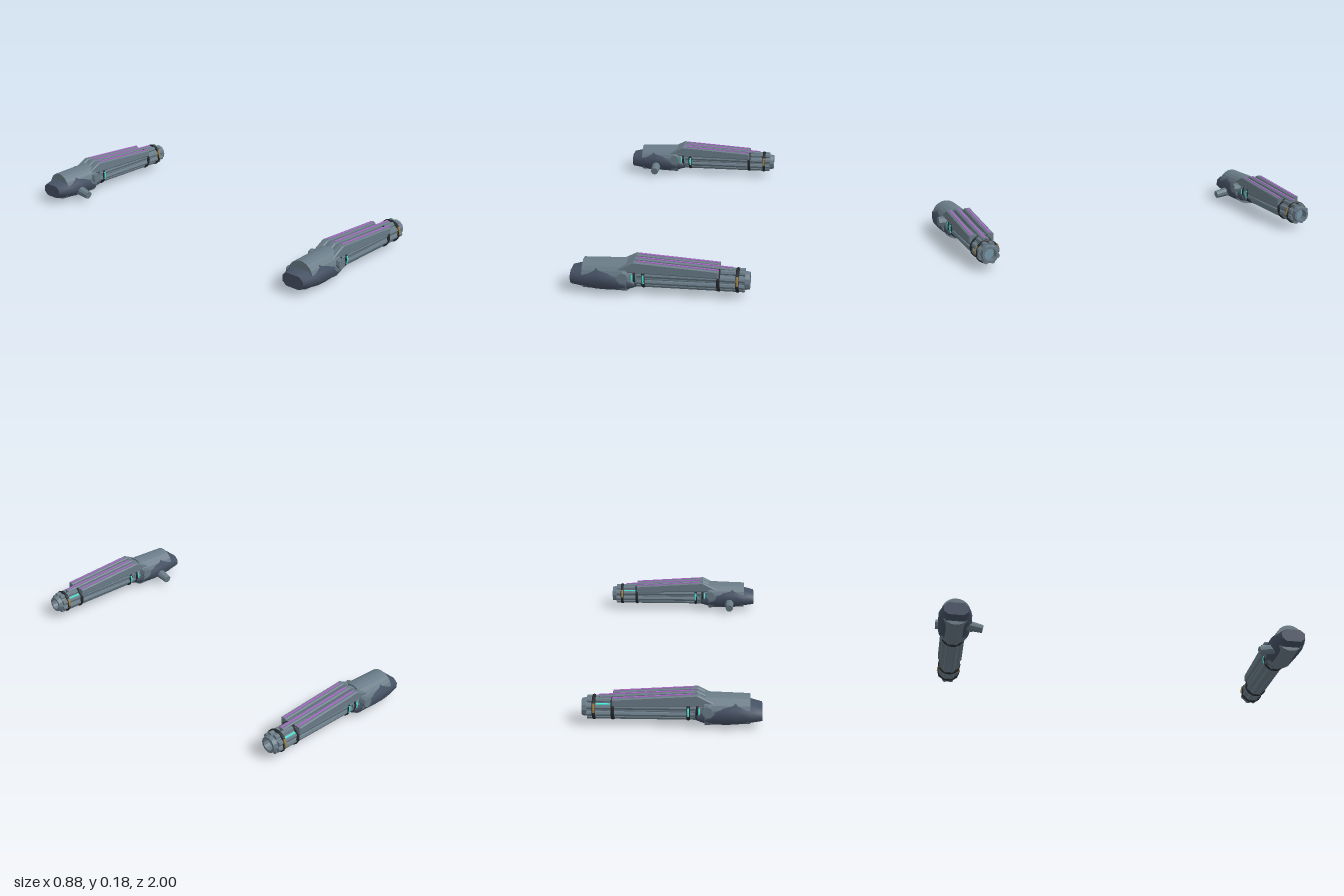
import * as THREE from 'three';

const mat = (name, color) => Object.assign(new THREE.MeshStandardMaterial({ color }), { name });

export function createModel() {
  const hull = mat('hull grey', 0x697b87), dark = mat('dark slate', 0x465265), black = mat('black rubber', 0x25292d);
  const violet = mat('violet trim', 0xab66c6), teal = mat('teal glow', 0x50ecdc), gold = mat('gold', 0x9c8046);
  const steel = mat('pale steel', 0x7698a9);
  const axisY = 0.085;
  // Hull pieces are faceted, the dark rear shell is smooth; the muzzle is an open surface
  hull.flatShading = true;
  hull.side = THREE.DoubleSide;

  const add = (parent, name, geo, material) => {
    const m = new THREE.Mesh(geo, material);
    m.name = name;
    parent.add(m);
    return m;
  };

  // Cylinder lying along x, r0 at the rear and r1 at the front
  const barX = (x0, x1, r0, r1, sides, y = axisY, z = 0) =>
    new THREE.CylinderGeometry(r1, r0, x1 - x0, sides).rotateZ(-Math.PI / 2).translate((x0 + x1) / 2, y, z);

  // Ring or arc around the barrel axis; angle 0 points to +z
  const ringX = (x, r, tube, width, arc = Math.PI * 2, angle = 0) =>
    new THREE.TorusGeometry(r, tube, 6, arc > 6 ? 24 : 8, arc)
      .rotateZ(angle - arc / 2).scale(1, 1, width).rotateY(-Math.PI / 2).translate(x, axisY, 0);

  // Shell through chamfered eight-sided sections [x, bottom, top, half width], with flat end caps
  function loft(sections) {
    const pos = [], index = [], n = 8;
    const shape = [[1, 0.42], [0.62, 1], [-0.62, 1], [-1, 0.42], [-1, -0.42], [-0.62, -1], [0.62, -1], [1, -0.42]];
    const ring = ([x, lo, hi, w]) => {
      const first = pos.length / 3;
      for (const [z, y] of shape) pos.push(x, (lo + hi) / 2 + y * (hi - lo) / 2, z * w);
      return first;
    };
    const starts = sections.map(ring);
    for (let s = 0; s < starts.length - 1; s++)
      for (let i = 0; i < n; i++) {
        const a = starts[s] + i, b = starts[s] + (i + 1) % n;
        index.push(a, b, a + n, b, b + n, a + n);
      }
    const rear = ring(sections[0]), front = ring(sections[sections.length - 1]);
    for (let i = 1; i < n - 1; i++) {
      index.push(rear, rear + i + 1, rear + i);
      index.push(front, front + i, front + i + 1);
    }
    // The sections run from +z up and over to -z, so every face is turned outward here
    for (let i = 0; i < index.length; i += 3) [index[i + 1], index[i + 2]] = [index[i + 2], index[i + 1]];
    const g = new THREE.BufferGeometry();
    g.setAttribute('position', new THREE.Float32BufferAttribute(pos, 3));
    g.setIndex(index);
    g.computeVertexNormals();
    return g;
  }

  // Long bevelled rail with a side profile in x and y
  function rail(points, width, z) {
    const b = 0.005;
    const g = new THREE.ExtrudeGeometry(new THREE.Shape(points.map(p => new THREE.Vector2(...p))),
      { depth: width - 2 * b, bevelEnabled: true, bevelThickness: b, bevelSize: b, bevelOffset: -b, bevelSegments: 1 });
    return g.translate(0, 0, z - width / 2 + b);
  }

  function cannon(side) {
    const c = new THREE.Group();
    c.name = side > 0 ? 'frontCannon' : 'backCannon';

    // Rear housing
    add(c, 'rearShell', loft([[-0.44, 0.037, 0.107, 0.064], [-0.38, 0.03, 0.121, 0.078], [-0.31, 0.022, 0.14, 0.088],
      [-0.25, 0.02, 0.135, 0.086], [-0.17, 0.02, 0.115, 0.077], [-0.12, 0.035, 0.08, 0.062]]), dark);
    add(c, 'housing', barX(-0.38, -0.16, 0.076, 0.083, 24), hull);
    add(c, 'collar', barX(-0.16, -0.11, 0.066, 0.058, 16), hull);

    // Cross bolt through the housing
    add(c, 'crossBolt', new THREE.CylinderGeometry(0.027, 0.027, 0.2, 8).rotateX(Math.PI / 2).translate(-0.173, 0.104, 0), hull);

    // Mounting peg on the inner side
    const peg = add(c, 'mountPeg', new THREE.CylinderGeometry(0.022, 0.029, 0.1, 10), hull);
    peg.position.set(-0.29, 0.049, -side * 0.098);
    peg.rotation.x = -side * (Math.PI / 2 + 0.18);

    // Core and ring of barrels
    add(c, 'barrelCore', barX(-0.14, 0.38, 0.05, 0.044, 16), hull);
    for (let i = 0; i < 8; i++) {
      const a = (i + 0.5) * Math.PI / 4;
      add(c, 'barrel', barX(-0.14, 0.415, 0.0145, 0.0145, 8, axisY + 0.045 * Math.sin(a), 0.045 * Math.cos(a)), hull);
    }

    // Hollow muzzle
    const profile = [[0.044, 0.36], [0.046, 0.42], [0.043, 0.44], [0.031, 0.44], [0.028, 0.4]].map(p => new THREE.Vector2(...p));
    add(c, 'muzzle', new THREE.LatheGeometry(profile, 12).rotateZ(-Math.PI / 2).translate(0, axisY, 0), hull);
    add(c, 'muzzleCore', barX(0.385, 0.405, 0.029, 0.029, 12), steel);

    // Clamp rings with glowing and gold bands on both flanks
    for (const x of [-0.125, -0.08, 0.288, 0.38]) add(c, 'clampRing', ringX(x, 0.056, 0.007, 1.35), black);
    for (const a of [0, Math.PI]) {
      for (const x of [-0.133, -0.079]) add(c, 'glowBand', ringX(x, 0.0605, 0.0055, 1, 0.72, a), teal);
      add(c, 'goldBand', ringX(0.38, 0.0605, 0.0055, 1.25, 0.75, a === 0 ? 0.25 : a - 0.25), gold);
    }

    // Three top rails with narrow trim strips
    for (const k of [-1, 0, 1]) {
      const end = k ? 0.29 : 0.355, top = k ? 0.15 : 0.148;
      add(c, 'topRail', rail([[-0.21, 0.12], [-0.1, 0.118], [end, 0.111], [end, top], [-0.125, 0.177], [-0.21, 0.133]],
        k ? 0.035 : 0.033, k * 0.049), hull);
      const trim = add(c, 'railTrim', new THREE.BoxGeometry(end + 0.11, 0.005, 0.009), violet);
      trim.position.set((end - 0.11) / 2, (0.177 + top) / 2, k * 0.048);
      trim.rotation.z = -Math.atan2(0.177 - top, end + 0.125);
    }
    // Floor between the rails
    add(c, 'railBed', new THREE.BoxGeometry(0.4, 0.02, 0.09).translate(0.09, 0.128, 0), hull);

    // Glowing strip on a barrel near the muzzle
    add(c, 'glowStrip', new THREE.BoxGeometry(0.07, 0.006, 0.01).translate(0.333, 0.116, -0.043), teal);

    c.position.z = side * 0.9;
    return c;
  }

  const model = new THREE.Group();
  model.name = 'twinCannons';
  model.add(cannon(1), cannon(-1));
  return model;
}
